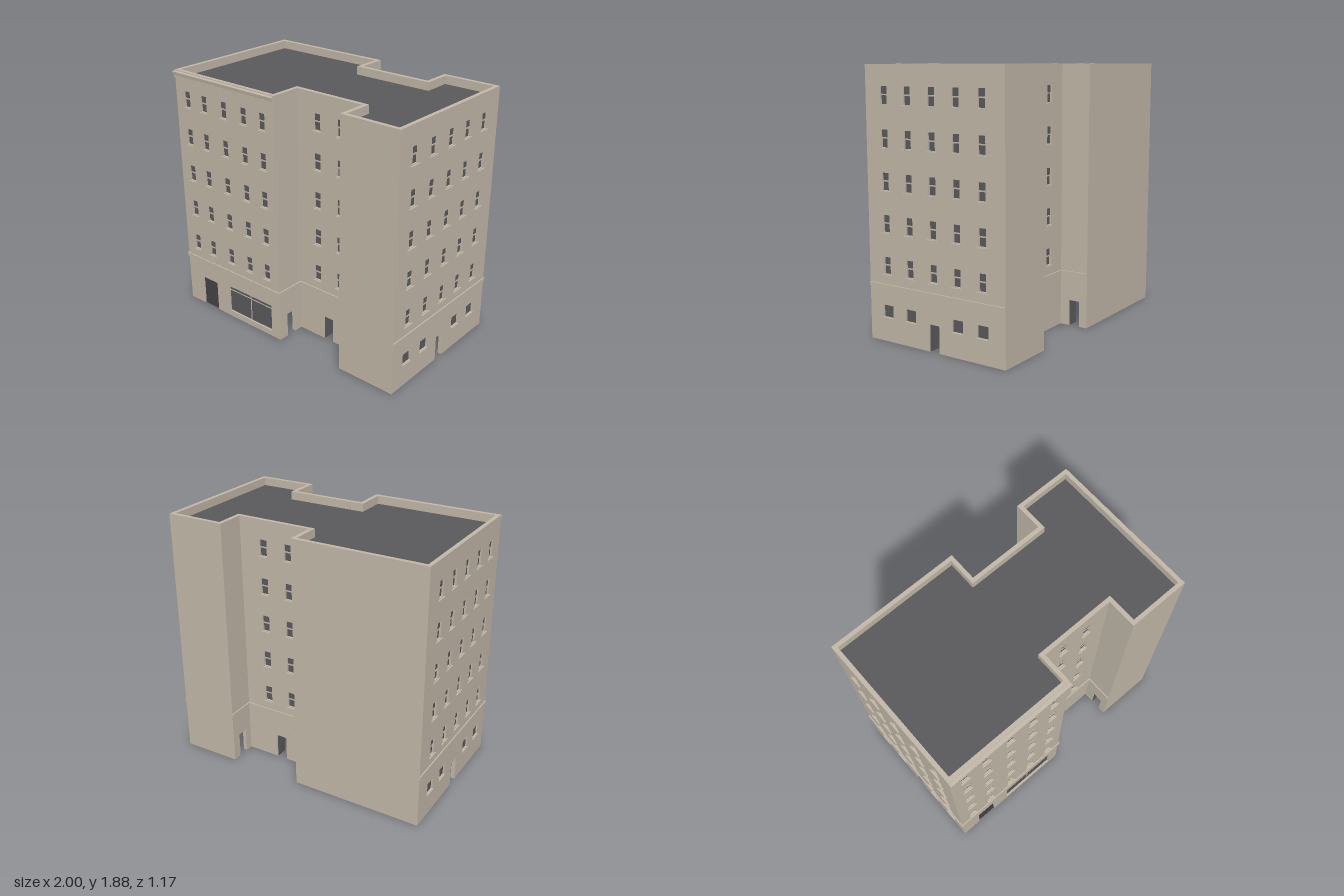
import * as THREE from 'three';

const T = 0.03;          // wall thickness
const TOP = 1.875;       // parapet height
const ROOF = 1.815;      // roof deck height
const FLOORS = [0.473, 0.76, 1.045, 1.331, 1.615]; // window bottoms

const stone = new THREE.MeshStandardMaterial({ color: 0xc2b8a8 });
stone.name = 'stone';
const glass = new THREE.MeshStandardMaterial({ color: 0x5a5a5d });
glass.name = 'darkGlass';
const deck = new THREE.MeshStandardMaterial({ color: 0x5a5a5d });
deck.name = 'roofDeck';
const iron = new THREE.MeshStandardMaterial({ color: 0x454547 });
iron.name = 'darkIron';

// Box given by its low and high corners
function box(parent, name, mat, x0, x1, y0, y1, z0, z1) {
  const m = new THREE.Mesh(new THREE.BoxGeometry(x1 - x0, y1 - y0, z1 - z0), mat);
  m.position.set((x0 + x1) / 2, (y0 + y1) / 2, (z0 + z1) / 2);
  m.name = name;
  parent.add(m);
  return m;
}

function rectHole(shape, x0, x1, y0, y1) {
  const p = new THREE.Path();
  p.moveTo(x0, y0);
  p.lineTo(x0, y1);
  p.lineTo(x1, y1);
  p.lineTo(x1, y0);
  p.closePath();
  shape.holes.push(p);
}

// Footprint corners (x, z), walked so the outside is on the right hand
const P = [
  [-0.99, 0.56], [-0.02, 0.56], [-0.02, 0.33], [0.53, 0.33], [0.53, 0.55], [0.985, 0.55],
  [0.985, -0.58], [0.545, -0.58], [0.545, -0.37], [-0.015, -0.37], [-0.015, -0.585], [-0.99, -0.585],
];
const CONCAVE = [2, 3, 8, 9];

// Openings of each wall, measured along it from its left end
const WALLS = [
  { name: 'frontWall', cols: [0.116, 0.287, 0.485, 0.677, 0.854], gate: [0.153, 0.308], shop: [0.442, 0.886], band: true },
  { name: 'frontCourtLeftWall', door: 0.08, band: true },
  { name: 'frontCourtWall', cols: [0.172, 0.373], door: 0.23, band: true },
  { name: 'frontCourtRightWall', door: 0.08, band: true },
  { name: 'wingFrontWall' },
  { name: 'leftSideWall', cols: [0.16, 0.36, 0.56, 0.755, 0.955], small: [0.16, 0.36, 0.755, 0.955], door: 0.52, band: true, sill: 0.046 },
  { name: 'wingBackWall' },
  { name: 'backCourtRightWall', door: 0.07, band: true },
  { name: 'backCourtWall', cols: [0.19, 0.39], door: 0.25, band: true },
  { name: 'backCourtLeftWall', door: 0.07, band: true },
  { name: 'mainBackWall' },
  { name: 'rightSideWall', cols: [0.18, 0.38, 0.585, 0.79, 0.99], small: [0.18, 0.38, 0.79, 0.99], door: 0.545, band: true, sill: 0.046 },
];

// Two-sash window with a rail and a projecting sill
function sashWindow(g, shape, u, y, sill) {
  const w = 0.028, h = 0.118;
  rectHole(shape, u - w, u + w, y, y + h);
  box(g, 'lowerSash', glass, u - w, u + w, y, y + 0.06, -0.022, -0.014);
  box(g, 'upperSash', glass, u - w, u + w, y + 0.06, y + h, -0.018, -0.01);
  box(g, 'sashRail', stone, u - w, u + w, y + 0.058, y + 0.067, -0.022, -0.006);
  box(g, 'windowSill', stone, u - sill, u + sill, y - 0.013, y - 0.005, -0.005, 0.01);
}

function buildWall(w, i) {
  const [ax, az] = P[i], j = (i + 1) % P.length, [bx, bz] = P[j];
  const len = Math.hypot(bx - ax, bz - az);
  const end = len + (CONCAVE.includes(j) ? T : 0);
  const g = new THREE.Group();
  g.name = w.name;
  g.position.set(ax, 0, az);
  g.rotation.y = Math.atan2(-(bz - az), bx - ax);

  // Outline with notches for openings that reach the ground
  const s = new THREE.Shape();
  s.moveTo(0, 0);
  const notches = [];
  if (w.gate) notches.push([...w.gate, 0.235]);
  if (w.door !== undefined) notches.push([w.door, w.door + 0.083, 0.187]);
  for (const [u0, u1, h] of notches) {
    s.lineTo(u0, 0);
    s.lineTo(u0, h);
    s.lineTo(u1, h);
    s.lineTo(u1, 0);
  }
  s.lineTo(end, 0);
  s.lineTo(end, TOP);
  s.lineTo(0, TOP);
  s.closePath();

  for (const u of w.cols || []) {
    for (const y of FLOORS) sashWindow(g, s, u, y, w.sill || 0.037);
  }
  // Small ground floor windows
  for (const u of w.small || []) {
    rectHole(s, u - 0.043, u + 0.043, 0.17, 0.255);
    box(g, 'groundWindow', glass, u - 0.043, u + 0.043, 0.17, 0.255, -0.02, -0.012);
    box(g, 'groundSill', stone, u - 0.048, u + 0.048, 0.16, 0.168, -0.005, 0.008);
  }
  // Wide shop window with one mullion and a transom
  if (w.shop) {
    const [u0, u1] = w.shop, mid = (u0 + u1) / 2;
    rectHole(s, u0, u1, 0.045, 0.26);
    box(g, 'shopGlass', glass, u0, u1, 0.045, 0.26, -0.022, -0.014);
    box(g, 'shopMullion', stone, mid - 0.003, mid + 0.003, 0.045, 0.26, -0.02, -0.01);
    box(g, 'shopTransom', stone, u0, u1, 0.224, 0.23, -0.02, -0.01);
  }
  // Barred gate
  if (w.gate) {
    const [u0, u1] = w.gate, n = 8, step = (u1 - u0) / n;
    for (let k = 0; k < n; k++) {
      const c = u0 + step * (k + 0.5);
      box(g, 'gateBar', iron, c - 0.0065, c + 0.0065, 0, 0.235, -0.02, -0.008);
    }
    box(g, 'gateTopRail', iron, u0, u1, 0.226, 0.235, -0.02, -0.008);
    box(g, 'gateBottomRail', iron, u0, u1, 0, 0.006, -0.02, -0.008);
  }
  // Door leaf standing open inwards
  if (w.door !== undefined) {
    box(g, 'openDoor', glass, w.door, w.door + 0.007, 0.002, 0.185, -0.09, -0.008);
  }
  // String course above the ground floor
  if (w.band) {
    const e = i === 0 ? 0.009 : 0;
    box(g, 'stringCourse', stone, -e, len + e, 0.376, 0.402, -0.005, 0.009);
  }

  const geo = new THREE.ExtrudeGeometry(s, { depth: T, bevelEnabled: false });
  geo.translate(0, 0, -T);
  const m = new THREE.Mesh(geo, stone);
  m.name = 'wallPanel';
  g.add(m);
  return g;
}

// Moulded cornice with brackets along the main front
function buildCornice() {
  const g = new THREE.Group();
  g.name = 'cornice';
  const s = new THREE.Shape([
    [0, 1.838], [0.012, 1.838], [0.014, 1.85], [0.024, 1.854], [0.026, 1.867], [0, 1.869],
  ].map(([z, y]) => new THREE.Vector2(z, y)));
  const geo = new THREE.ExtrudeGeometry(s, { depth: 0.97, bevelEnabled: false });
  geo.rotateY(-Math.PI / 2);   // profile faces +z after the turn below
  geo.rotateY(-Math.PI / 2);
  geo.rotateY(Math.PI / 2);
  geo.rotateY(0);
  // Swap axes by rule: profile x becomes z, depth becomes x
  const pos = geo.attributes.position;
  for (let k = 0; k < pos.count; k++) {
    const along = -pos.getX(k), out = pos.getZ(k);
    pos.setXYZ(k, -0.02 - along, pos.getY(k), 0.56 + out);
  }
  geo.computeVertexNormals();
  const m = new THREE.Mesh(geo, stone);
  m.material = stone;
  m.name = 'corniceMoulding';
  g.add(m);
  for (let k = 0; k < 10; k++) {
    const x = -0.976 + k * 0.0975;
    box(g, 'corniceBracket', stone, x - 0.005, x + 0.005, 1.824, 1.84, 0.555, 0.578);
    box(g, 'bracketFoot', stone, x - 0.004, x + 0.004, 1.81, 1.824, 0.555, 0.568);
  }
  return g;
}

export function createModel() {
  const model = new THREE.Group();
  model.name = 'apartmentBlock';
  WALLS.forEach((w, i) => model.add(buildWall(w, i)));
  model.add(buildCornice());

  // Flat roof deck sunk behind the parapet, kept inside the wall faces
  const inset = 0.01;
  const pts = P.map(([x, z], i) => {
    const sx = [0, 3, 4, 7, 8, 11].includes(i) ? inset : -inset;
    const sz = z > 0 ? -inset : inset;
    return new THREE.Vector2(x + sx, -(z + sz));
  });
  const roofGeo = new THREE.ExtrudeGeometry(new THREE.Shape(pts), { depth: 0.02, bevelEnabled: false });
  roofGeo.rotateX(-Math.PI / 2);
  roofGeo.translate(0, ROOF - 0.02, 0);
  const roof = new THREE.Mesh(roofGeo, deck);
  roof.name = 'roofDeck';
  model.add(roof);
  return model;
}
